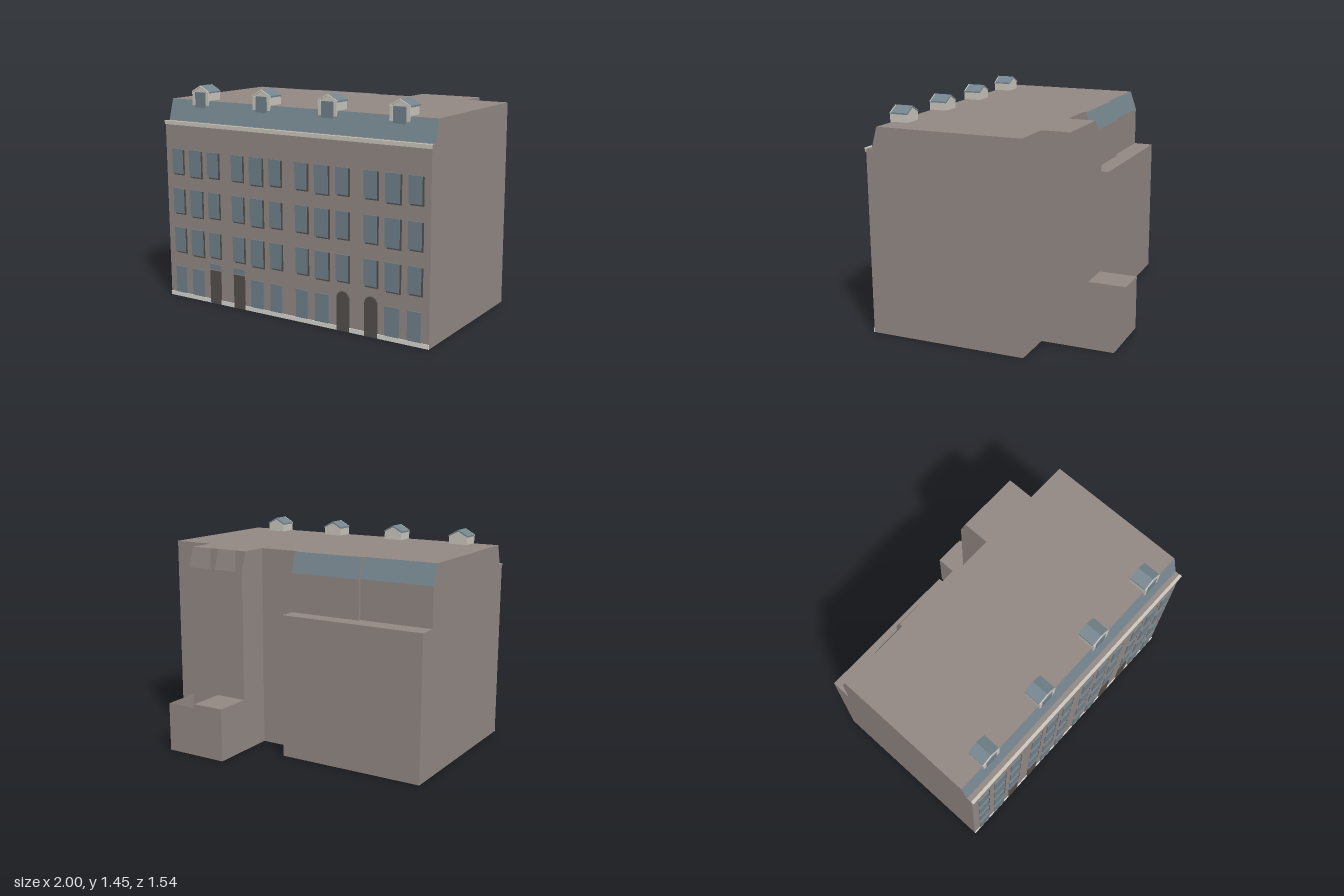
import * as THREE from 'three';

const mat = (name, color, side = THREE.FrontSide) => {
  const m = new THREE.MeshStandardMaterial({ color, side });
  m.name = name;
  return m;
};

export function createModel() {
  const wall = mat('taupe wall', 0x928883, THREE.DoubleSide);
  const slate = mat('blue slate', 0x75858e, THREE.DoubleSide);
  const glass = mat('window glass', 0x70808a);
  const dark = mat('dark door', 0x544f4b);
  const cream = mat('cream trim', 0xcbc7be);
  const plinthMat = mat('pale plinth', 0xd9d6d1);

  const model = new THREE.Group();
  model.name = 'terraceBuilding';

  const add = (name, geo, material, parent = model) => {
    const m = new THREE.Mesh(geo, material);
    m.name = name;
    parent.add(m);
    return m;
  };
  // Box given by its limits on each axis
  const box = (name, x0, x1, y0, y1, z0, z1, material, parent) => add(name,
    new THREE.BoxGeometry(x1 - x0, y1 - y0, z1 - z0)
      .translate((x0 + x1) / 2, (y0 + y1) / 2, (z0 + z1) / 2), material, parent);
  const shapeOf = pts => new THREE.Shape(pts.map(p => new THREE.Vector2(...p)));
  // Profile in (z, y) swept across x
  const prism = (name, pts, x0, x1, material) => add(name,
    new THREE.ExtrudeGeometry(shapeOf(pts), { depth: x1 - x0, bevelEnabled: false })
      .rotateY(-Math.PI / 2).translate(x1, 0, 0), material);
  // Profile in (x, y) swept along z
  const sweepZ = (name, pts, z0, z1, material, parent) => add(name,
    new THREE.ExtrudeGeometry(shapeOf(pts), { depth: z1 - z0, bevelEnabled: false })
      .translate(0, 0, z0), material, parent);
  // Single convex face
  const face = (name, pts, material) => {
    const v = [];
    for (let i = 1; i < pts.length - 1; i++) v.push(...pts[0], ...pts[i], ...pts[i + 1]);
    const g = new THREE.BufferGeometry();
    g.setAttribute('position', new THREE.Float32BufferAttribute(v, 3));
    g.computeVertexNormals();
    return add(name, g, material);
  };

  // Main block with sloped front roof profile
  prism('mainBlock', [[-0.29, 0], [0.757, 0], [0.757, 1.208], [0.715, 1.208],
    [0.675, 1.348], [-0.29, 1.348]], -1, 1, wall);
  face('frontRoofSlope', [[-1, 1.209, 0.718], [1, 1.209, 0.718],
    [1, 1.348, 0.678], [-1, 1.348, 0.678]], slate);
  box('corniceLower', -1, 1, 1.185, 1.2, 0.755, 0.764, cream);
  box('corniceUpper', -1, 1, 1.2, 1.211, 0.75, 0.77, cream);

  // Rear wing: low block and two roof sections set at slightly different depths
  box('rearWing', -1, 0, 0, 0.955, -0.468, -0.28, wall);
  [[-1, -0.5, -0.29], [-0.5, 0, -0.31]].forEach(([x0, x1, z]) => {
    prism('rearAttic', [[-0.28, 0.95], [-0.28, 1.348], [z, 1.348],
      [z - 0.045, 1.215], [z - 0.045, 0.95]], x0, x1, wall);
    face('rearRoofSlope', [[x1, 1.215, z - 0.047], [x0, 1.215, z - 0.047],
      [x0, 1.349, z - 0.002], [x1, 1.349, z - 0.002]], slate);
  });

  // Stair tower in two halves, open along the top slope
  const towerX = [0.28, 0.5, 0.715];
  towerX.forEach(x => face('towerSide', [[x, 0, -0.29], [x, 0, -0.518],
    [x, 1.215, -0.518], [x, 1.348, -0.475], [x, 1.348, -0.29]], wall));
  for (let i = 0; i < 2; i++) {
    const a = towerX[i], b = towerX[i + 1];
    face('towerBack', [[b, 0, -0.518], [a, 0, -0.518], [a, 1.215, -0.518], [b, 1.215, -0.518]], wall);
    face('towerRoof', [[a, 1.348, -0.29], [b, 1.348, -0.29], [b, 1.348, -0.475], [a, 1.348, -0.475]], wall);
  }

  // Low annex behind the tower: one half roofed, the other open
  box('annexRoofed', 0.28, 0.5, 0, 0.355, -0.77, -0.518, wall);
  face('annexFloor', [[0.28, 0, -0.29], [0.28, 0, -0.77], [0.715, 0, -0.77], [0.715, 0, -0.29]], wall);
  face('annexBack', [[0.715, 0, -0.77], [0.5, 0, -0.77], [0.5, 0.328, -0.77], [0.715, 0.328, -0.77]], wall);
  face('annexSide', [[0.715, 0, -0.518], [0.715, 0, -0.77], [0.715, 0.328, -0.77], [0.715, 0.328, -0.518]], wall);

  // Front windows: dark reveal plate with a glass plate over it
  const windowAt = (x, w, y0, y1, reveal) => {
    const g = new THREE.Group();
    g.name = 'window';
    model.add(g);
    if (reveal) {
      box('windowReveal', x - w / 2 + 0.01, x + w / 2 + 0.01, y0 - 0.009, y1 - 0.003, 0.755, 0.762, dark, g);
    }
    box('windowGlass', x - w / 2, x + w / 2, y0, y1, 0.757, 0.765, glass, g);
  };
  const columns = [-0.9, -0.75, -0.6, -0.4, -0.25, -0.1, 0.1, 0.25, 0.4, 0.6, 0.75, 0.9];
  const rows = [[0.32, 0.487], [0.588, 0.757], [0.858, 1.025]];
  columns.forEach((x, i) => {
    const wide = i % 3 === 1;
    const w = wide ? 0.1 : 0.09;
    rows.forEach(([y0, y1]) => windowAt(x, w, wide ? y0 - 0.01 : y0, y1, true));
    const isDoor = [2, 3, 8, 9].includes(i);
    if (!isDoor) windowAt(x, w, 0.03, 0.215, false);
  });

  // Square doors with a transom light
  [-0.6, -0.4].forEach(x => {
    box('squareDoor', x - 0.045, x + 0.045, 0, 0.228, 0.755, 0.764, dark);
    box('transom', x - 0.045, x + 0.045, 0.238, 0.272, 0.755, 0.764, glass);
  });
  // Arched doors
  [0.405, 0.605].forEach(x => {
    const s = new THREE.Shape();
    s.moveTo(-0.045, 0);
    s.lineTo(0.045, 0);
    s.lineTo(0.045, 0.21);
    s.absellipse(0, 0.21, 0.045, 0.045, 0, Math.PI);
    add('archedDoor', new THREE.ExtrudeGeometry(s, { depth: 0.009, bevelEnabled: false, curveSegments: 8 })
      .translate(x, 0, 0.755), dark);
  });

  // Plinth strips between the doors
  [[-1, -0.645], [-0.555, -0.445], [-0.355, 0.36], [0.45, 0.56], [0.65, 1]].forEach(([a, b]) =>
    box('plinth', a, b, 0, 0.028, 0.755, 0.763, plinthMat));

  // Roof dormers
  [-0.75, -0.25, 0.25, 0.75].forEach(x => {
    const d = new THREE.Group();
    d.name = 'dormer';
    d.position.x = x;
    model.add(d);
    const chevron = [[-0.071, 1.398], [0, 1.436], [0.071, 1.398],
      [0.071, 1.408], [0, 1.447], [-0.071, 1.408]].reverse();
    sweepZ('dormerBody', [[-0.066, 1.3], [0.066, 1.3], [0.066, 1.4], [0, 1.437], [-0.066, 1.4]],
      0.569, 0.682, cream, d);
    sweepZ('dormerRoof', chevron, 0.566, 0.683, slate, d);
    sweepZ('dormerGableTrim', chevron, 0.683, 0.69, cream, d);
    [-1, 1].forEach(s => box('dormerPost', s * 0.057 - 0.011, s * 0.057 + 0.011,
      1.315, 1.402, 0.675, 0.69, cream, d));
    box('dormerWindow', -0.042, 0.042, 1.295, 1.402, 0.682, 0.6915, glass, d);
  });

  return model;
}
